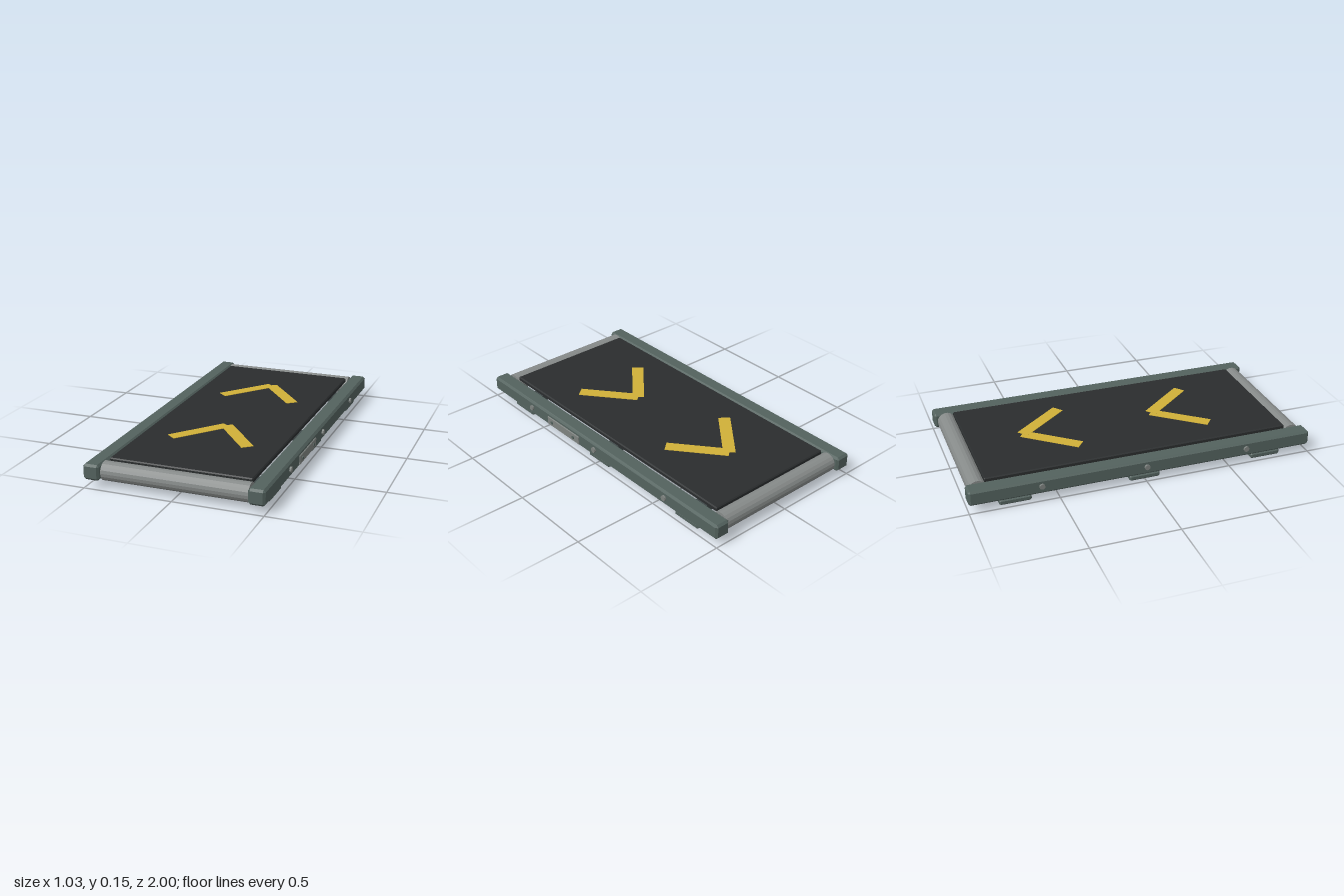
import * as THREE from 'three';
import { ConvexGeometry } from 'three/addons/geometries/ConvexGeometry.js';

const material = (color) => new THREE.MeshStandardMaterial({ color, flatShading: true });
const frameMat = material(0x53625e);
const beamMat = material(0x40494a);
const beltMat = material(0x2a2d2e);
const rollerMat = material(0x868a89);
const plateMat = material(0x7d827f);
const markMat = material(0xd0b038);

// Box with every edge chamfered by c
function chamferBox(w, h, d, c) {
  const x = w / 2, y = h / 2, z = d / 2, points = [];
  for (const i of [-1, 1]) for (const j of [-1, 1]) for (const k of [-1, 1]) {
    points.push(
      new THREE.Vector3(i * x, j * (y - c), k * (z - c)),
      new THREE.Vector3(i * (x - c), j * y, k * (z - c)),
      new THREE.Vector3(i * (x - c), j * (y - c), k * z));
  }
  return new ConvexGeometry(points);
}

export function createModel() {
  const model = new THREE.Group();
  model.name = 'conveyor';

  function add(name, geometry, mat, x, y, z, parent = model) {
    const mesh = new THREE.Mesh(geometry, mat);
    mesh.name = name;
    mesh.position.set(x, y, z);
    parent.add(mesh);
    return mesh;
  }

  // Cylinder lying along x
  function rod(radius, length, sides) {
    return new THREE.CylinderGeometry(radius, radius, length, sides).rotateZ(Math.PI / 2);
  }

  // Belt
  add('belt', chamferBox(0.804, 0.028, 1.78, 0.006), beltMat, 0, 0.129, 0);

  // End rollers with axles reaching into the rails
  for (const z of [-0.93, 0.93]) {
    add('roller', rod(0.053, 0.82, 18), rollerMat, 0, 0.087, z);
    add('axle', rod(0.018, 0.9, 10), rollerMat, 0, 0.087, z);
  }

  // Side rails with bolts
  for (const side of [-1, 1]) {
    add(side > 0 ? 'leftRail' : 'rightRail',
      chamferBox(0.092, 0.088, 2, 0.012), frameMat, side * 0.458, 0.091, 0);
    for (const z of [-0.6, 0, 0.6]) {
      add('bolt', rod(0.016, 0.03, 10), plateMat, side * 0.5, 0.095, z);
    }
  }

  // Cross beams and feet
  for (const z of [-0.74, 0, 0.74]) {
    add('crossBeam', new THREE.BoxGeometry(0.88, 0.04, 0.08), beamMat, 0, 0.055, z);
    for (const side of [-1, 1]) {
      add('foot', chamferBox(0.12, 0.034, 0.18, 0.009), frameMat, side * 0.415, 0.017, z);
    }
  }

  // Service plate on the left rail
  add('servicePlate', chamferBox(0.012, 0.052, 0.3, 0.003), plateMat, 0.504, 0.086, 0.29);
  for (const z of [0.19, 0.395]) {
    add('plateScrew', rod(0.01, 0.006, 10), frameMat, 0.511, 0.086, z);
  }

  // Chevrons pointing to the back, each of two slanted bars
  const barLength = 0.358, slant = Math.atan2(0.227, 0.278);
  const bar = new THREE.BoxGeometry(0.07, 0.004, barLength).translate(0, 0, barLength / 2);
  for (const z of [-0.57, 0.215]) {
    const chevron = new THREE.Group();
    chevron.name = 'chevron';
    chevron.position.set(0, 0.1435, z);
    for (const side of [-1, 1]) {
      add('chevronBar', bar, markMat, 0, side * 0.0002, 0, chevron).rotation.y = side * slant;
    }
    model.add(chevron);
  }

  return model;
}
